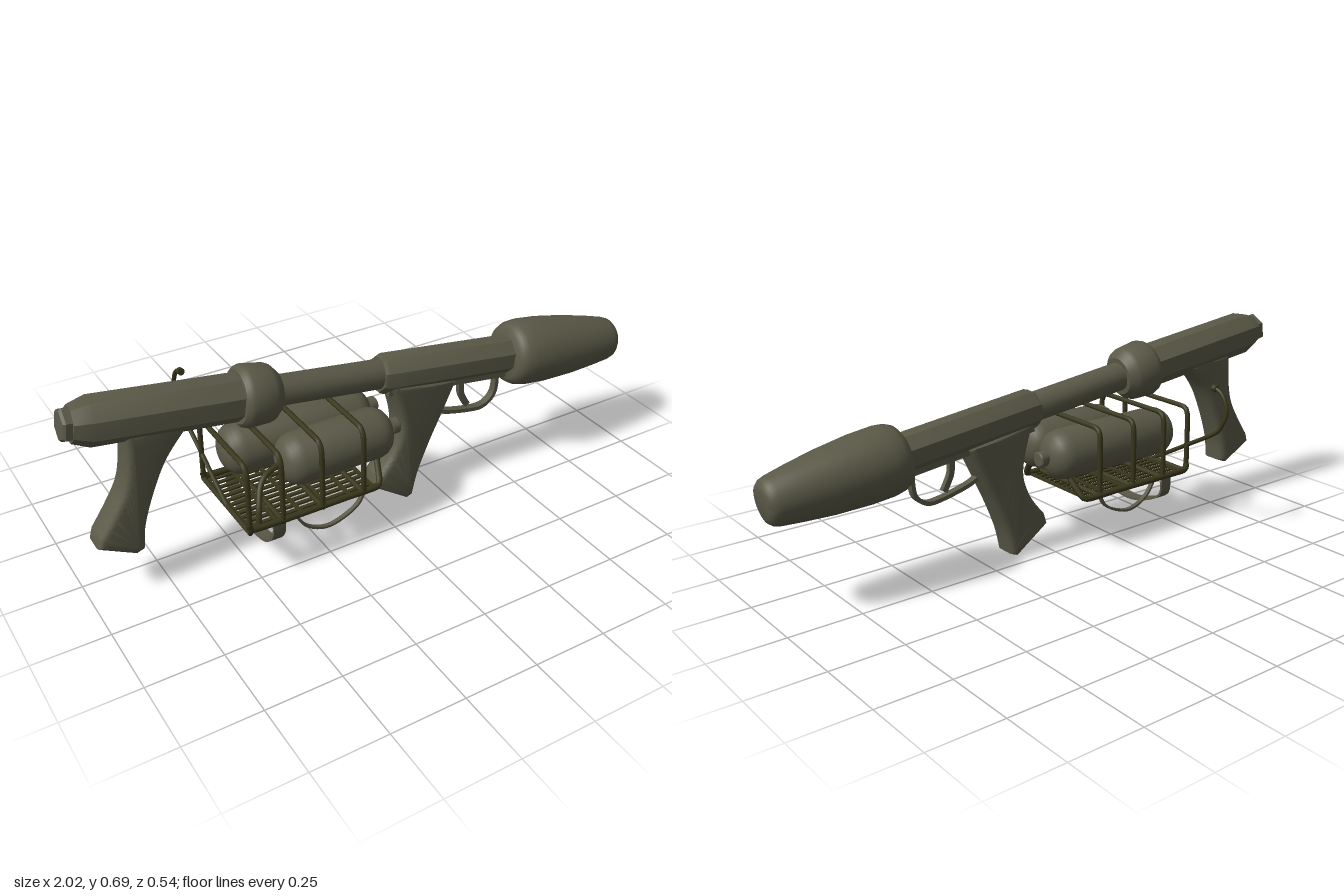
import * as THREE from 'three';
import { toCreasedNormals } from 'three/addons/utils/BufferGeometryUtils.js';

const V3 = (a) => new THREE.Vector3(...a);
const V2 = (a) => new THREE.Vector2(...a);

export function createModel() {
  const model = new THREE.Group();
  const olive = new THREE.MeshStandardMaterial({ color: 0x5a5947, name: 'greyOlive' });
  const dark = new THREE.MeshStandardMaterial({ color: 0x39371c, name: 'darkOlive' });

  const add = (parent, name, geo, mat) => {
    const m = new THREE.Mesh(geo, mat);
    m.name = name;
    parent.add(m);
    return m;
  };
  // Turned part along x; profile is [x, radius] from rear to front
  const turned = (profile, sides = 32) => {
    const facet = sides <= 8;
    const k = facet ? 1 / Math.cos(Math.PI / sides) : 1;
    const pts = profile.map(([x, r]) => new THREE.Vector2(r * k, x));
    const g = new THREE.LatheGeometry(pts, sides, facet ? Math.PI / sides : 0);
    g.rotateZ(-Math.PI / 2);
    return toCreasedNormals(g, 0.6);
  };
  // Round rod through points, with rounded or straight corners
  const rod = (pts, r, closed = false, smooth = 0.5) =>
    new THREE.TubeGeometry(
      new THREE.CatmullRomCurve3(pts.map(V3), closed, 'catmullrom', smooth),
      pts.length * 6, r, 8, closed);
  // Flat band following a curve in the xy plane, centred on z = 0
  const band = (pts, thick, width) => {
    const curve = new THREE.SplineCurve(pts.map(V2));
    const outer = [], inner = [];
    for (let i = 0; i <= 28; i++) {
      const p = curve.getPoint(i / 28), t = curve.getTangent(i / 28);
      const n = new THREE.Vector2(-t.y, t.x).multiplyScalar(thick / 2);
      outer.push(p.clone().add(n));
      inner.unshift(p.clone().sub(n));
    }
    const g = new THREE.ExtrudeGeometry(new THREE.Shape([...outer, ...inner]),
      { depth: width, bevelEnabled: false });
    g.translate(0, 0, -width / 2);
    return toCreasedNormals(g, 0.6);
  };

  // Gun body: tilted down and slightly yawed along its own axis
  const gun = new THREE.Group();
  gun.name = 'gunBody';
  gun.position.set(0, 0.508, 0.088);
  gun.rotation.set(0, -0.03, -0.126);
  model.add(gun);
  add(gun, 'rearCap', turned([[-1.018, 0], [-1.018, 0.04], [-1.01, 0.047], [-0.98, 0.047]], 6), olive);
  add(gun, 'rearTube', turned([[-0.99, 0], [-0.99, 0.053], [-0.935, 0.071], [-0.46, 0.071], [-0.46, 0]], 8), olive);
  add(gun, 'collar', turned([[-0.475, 0.05], [-0.475, 0.085], [-0.465, 0.095], [-0.45, 0.1],
    [-0.38, 0.094], [-0.365, 0.088], [-0.342, 0.066], [-0.342, 0.04]]), olive);
  add(gun, 'middleTube', turned([[-0.4, 0.05], [0.06, 0.05]], 16), olive);
  const receiver = add(gun, 'receiver', turned([[0.025, 0], [0.025, 0.054], [0.04, 0.06],
    [0.56, 0.06], [0.56, 0]], 8), olive);
  receiver.scale.y = 1.04;
  add(gun, 'receiverUnderside', new THREE.BoxGeometry(0.47, 0.05, 0.076).translate(0.29, -0.043, 0), olive);
  add(gun, 'muzzle', turned([[0.535, 0], [0.535, 0.085], [0.545, 0.1], [0.565, 0.11], [0.6, 0.115],
    [0.68, 0.114], [0.8, 0.104], [0.9, 0.09], [0.965, 0.079], [0.985, 0.073], [0.998, 0.061],
    [1.003, 0.045], [1.003, 0]], 40), olive);

  // Pistol grips: rounded extrusions of a curved side outline
  const grip = (name, back, base, front, z) => {
    const s = new THREE.Shape();
    s.moveTo(...back[0]);
    s.splineThru(back.slice(1).map(V2));
    base.forEach((p) => s.lineTo(...p));
    s.splineThru(front.map(V2));
    s.closePath();
    const b = 0.022;
    const g = new THREE.ExtrudeGeometry(s, {
      depth: 0.1 - 2 * b, bevelThickness: b, bevelSize: b, bevelOffset: -b,
      bevelSegments: 4, curveSegments: 10,
    });
    g.translate(0, 0, z - 0.05 + b);
    add(model, name, toCreasedNormals(g, 0.7), olive);
  };
  grip('rearGrip',
    [[-0.837, 0.57], [-0.842, 0.47], [-0.86, 0.385], [-0.9, 0.312], [-0.952, 0.235]],
    [[-0.962, 0.2], [-0.845, 0.138], [-0.815, 0.15]],
    [[-0.805, 0.23], [-0.767, 0.342], [-0.714, 0.449], [-0.63, 0.55]], 0.062);
  grip('frontGrip',
    [[0.05, 0.47], [0.083, 0.36], [0.09, 0.28], [0.06, 0.2], [0.005, 0.128]],
    [[-0.006, 0.09], [0.122, 0.002], [0.146, 0.012]],
    [[0.168, 0.102], [0.211, 0.209], [0.249, 0.289], [0.31, 0.42]], 0.094);

  // Trigger and its guard
  add(model, 'triggerGuard', band([[0.25, 0.305], [0.3, 0.284], [0.4, 0.262], [0.45, 0.262],
    [0.488, 0.29], [0.5, 0.335], [0.498, 0.41]], 0.014, 0.026), olive).position.z = 0.1;
  add(model, 'trigger', band([[0.35, 0.42], [0.352, 0.35], [0.365, 0.315], [0.382, 0.285]],
    0.02, 0.018), olive).position.z = 0.1;

  // Two gas tanks of unequal length with nozzles
  for (const [name, x0, x1, z] of [['backTank', -0.515, 0.028, 0.017], ['frontTank', -0.385, 0.022, 0.165]]) {
    const tank = new THREE.Group();
    tank.name = name;
    tank.position.set(0, 0.345, z);
    model.add(tank);
    const end = [[0, 0], [0.004, 0.03], [0.012, 0.052], [0.026, 0.07], [0.043, 0.081], [0.065, 0.086]];
    add(tank, 'tankBody', turned([...end.map(([x, r]) => [x0 + x, r]),
      ...end.slice().reverse().map(([x, r]) => [x1 - x, r])]), olive);
    add(tank, 'tankNozzle', turned([[x1 - 0.02, 0.02], [x1 + 0.006, 0.02], [x1 + 0.006, 0.027],
      [x1 + 0.03, 0.027], [x1 + 0.034, 0.022], [x1 + 0.034, 0]], 20), olive);
  }

  // Carrier frame: rounded hoops round the tanks
  const frame = new THREE.Group();
  frame.name = 'carrierFrame';
  model.add(frame);
  const hoop = (x) => rod([[x, 0.2, -0.073], [x, 0.208, -0.077], [x, 0.3, -0.077], [x, 0.4, -0.076],
    [x, 0.428, -0.068], [x, 0.437, -0.045], [x, 0.437, 0.09], [x, 0.437, 0.225], [x, 0.428, 0.247],
    [x, 0.4, 0.257], [x, 0.3, 0.258], [x, 0.208, 0.258], [x, 0.2, 0.254], [x, 0.2, 0.09]], 0.009, true, 0.3);
  for (const x of [-0.535, -0.42, -0.28, -0.13]) add(frame, 'hoop', hoop(x), dark);

  // Lower side rails, turned up and inward at the front
  for (const side of [-1, 1]) {
    const z = (d) => 0.09 + side * d;
    add(frame, 'sideRail', rod([[-0.537, 0.23, z(0.167)], [-0.525, 0.207, z(0.167)], [-0.4, 0.203, z(0.167)],
      [-0.2, 0.203, z(0.167)], [-0.085, 0.2, z(0.165)], [-0.062, 0.21, z(0.155)],
      [-0.045, 0.265, z(0.11)]], 0.011, false, 0.3), dark);
  }
  add(frame, 'rearPipe', rod([[-0.5, 0.205, 0.25], [-0.49, 0.26, 0.235], [-0.465, 0.31, 0.2],
    [-0.43, 0.335, 0.18], [-0.37, 0.345, 0.165]], 0.01), dark);

  // Floor grille
  for (let i = 0; i < 13; i++)
    add(frame, 'grilleSlat', new THREE.BoxGeometry(0.44, 0.006, 0.013)
      .translate(-0.31, 0.192, -0.066 + i * 0.026), dark);
  for (let i = 0; i < 6; i++)
    add(frame, 'grilleCrossbar', new THREE.BoxGeometry(0.012, 0.007, 0.335)
      .translate(-0.525 + i * 0.088, 0.196, 0.09), dark);

  // Bent hose rising behind the frame, with an end fitting
  add(model, 'hose', rod([[-0.535, 0.2, 0.1], [-0.535, 0.255, 0.0], [-0.535, 0.3, -0.08],
    [-0.535, 0.374, -0.21], [-0.535, 0.41, -0.242], [-0.535, 0.455, -0.262], [-0.535, 0.495, -0.254],
    [-0.534, 0.525, -0.233], [-0.532, 0.538, -0.205]], 0.0075), dark);
  const tip = add(model, 'hoseTip', new THREE.CylinderGeometry(0.012, 0.012, 0.016, 12), dark);
  tip.position.set(-0.532, 0.537, -0.205);
  tip.rotation.x = Math.PI / 2 - 0.2;

  // Hanging straps: a wide one across, and a narrow one on each side
  const cross = add(model, 'crossStrap', band([[-0.077, 0.2], [-0.073, 0.14], [-0.03, 0.108], [0.04, 0.083],
    [0.1, 0.074], [0.16, 0.081], [0.21, 0.103], [0.252, 0.15], [0.258, 0.2]], 0.008, 0.042), olive);
  cross.rotation.y = -Math.PI / 2;
  cross.position.x = -0.435;
  for (const z of [-0.076, 0.257])
    add(model, 'sideStrap', band([[-0.375, 0.2], [-0.345, 0.155], [-0.3, 0.127], [-0.25, 0.119],
      [-0.19, 0.138], [-0.15, 0.165], [-0.13, 0.2]], 0.008, 0.015), olive).position.z = z;

  return model;
}
